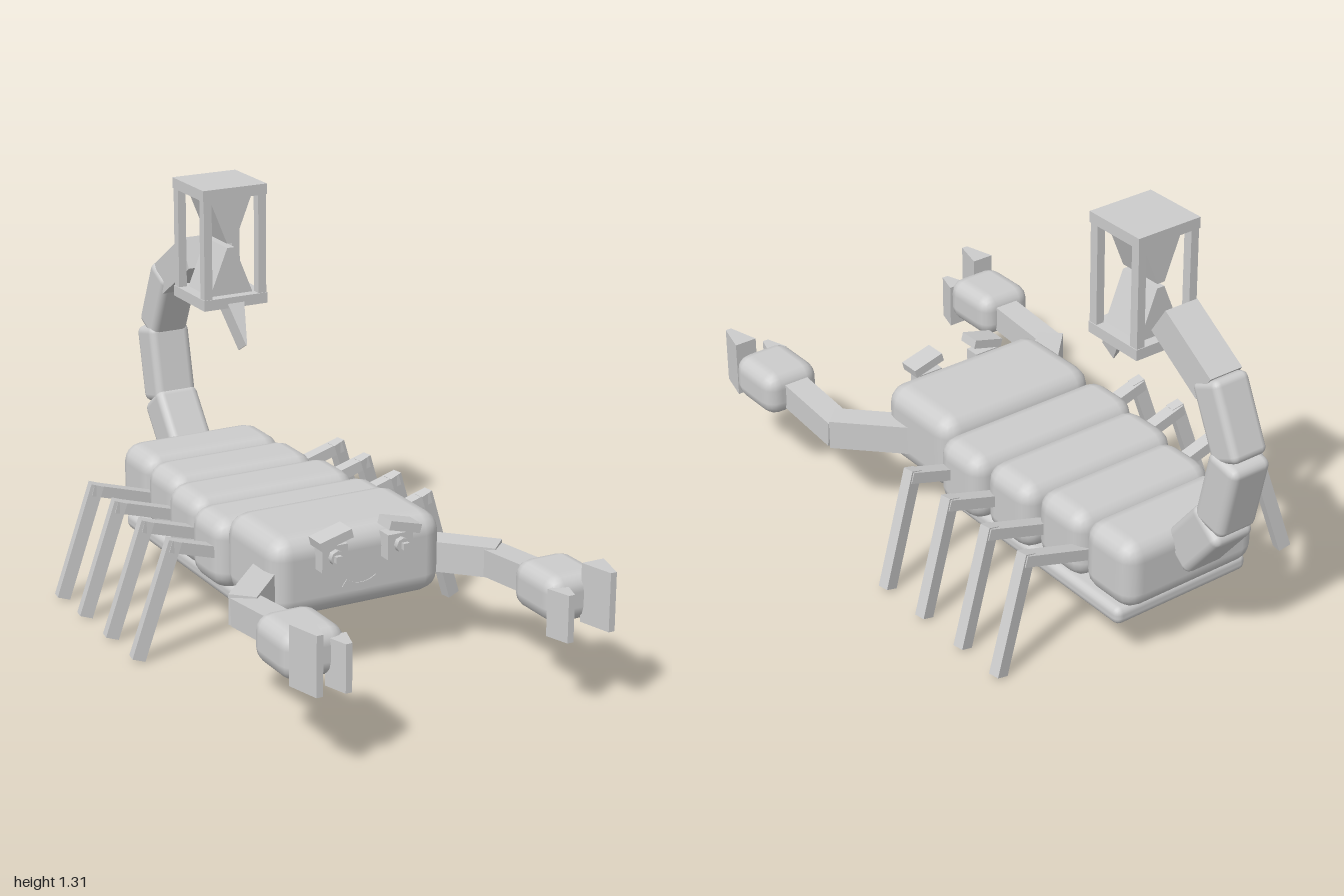
import * as THREE from 'three';
import { RoundedBoxGeometry } from 'three/addons/geometries/RoundedBoxGeometry.js';

const stone = new THREE.MeshStandardMaterial({ color: 0xcccccc });
stone.name = 'light grey';

function add(parent, name, geometry, x = 0, y = 0, z = 0) {
  const mesh = new THREE.Mesh(geometry, stone);
  mesh.name = name;
  mesh.position.set(x, y, z);
  parent.add(mesh);
  return mesh;
}

const box = (w, h, d) => new THREE.BoxGeometry(w, h, d);

// Box with softened edges, slightly enlarged to keep its full outer size
function softBox(w, h, d, r) {
  const e = 0.075 * r;
  return new RoundedBoxGeometry(w + e, h + e, d + e, 2, r);
}

// Straight bar from a to b, w wide and h high
function bar(parent, name, a, b, w, h, r = 0) {
  const from = new THREE.Vector3(...a), to = new THREE.Vector3(...b);
  const len = from.distanceTo(to);
  const mesh = add(parent, name, r ? softBox(w, h, len, r) : box(w, h, len));
  mesh.position.copy(from).add(to).multiplyScalar(0.5);
  mesh.lookAt(to);
  return mesh;
}

// Prism tapering from width w0 at y = 0 to w1 at y = len, centred in z
function taper(w0, w1, len, depth) {
  const shape = new THREE.Shape([
    new THREE.Vector2(-w0 / 2, 0), new THREE.Vector2(w0 / 2, 0),
    new THREE.Vector2(w1 / 2, len), new THREE.Vector2(-w1 / 2, len),
  ]);
  return new THREE.ExtrudeGeometry(shape, { depth, bevelEnabled: false }).translate(0, 0, -depth / 2);
}

function addBody(root) {
  add(root, 'head', softBox(0.572, 0.25, 0.33, 0.065), 0, 0.327, 0.228);
  // Four back plates, narrowing toward the tail: [width, centre z, depth]
  const plates = [[0.62, -0.02, 0.205], [0.57, -0.23, 0.215], [0.51, -0.44, 0.215], [0.49, -0.65, 0.215]];
  for (const [w, z, d] of plates) add(root, 'bodySegment', softBox(w, 0.222, d, 0.06), 0, 0.306, z);
  add(root, 'bellyPlate', softBox(0.495, 0.057, 0.815, 0.024), 0, 0.164, -0.308);
}

function addFace(root) {
  for (const s of [-1, 1]) {
    add(root, 'eye', box(0.085, 0.078, 0.05), s * 0.11, 0.394, 0.41);
    const iris = add(root, 'iris', new THREE.CylinderGeometry(0.023, 0.023, 0.02, 8), s * 0.11, 0.4, 0.443);
    iris.rotation.x = Math.PI / 2;
    add(root, 'pupil', box(0.02, 0.02, 0.02), s * 0.113, 0.4, 0.456);
    const brow = add(root, 'brow', box(0.108, 0.028, 0.07), s * 0.115, 0.457, 0.42);
    brow.rotation.z = -s * 0.26;
  }
  // Curved smile strip
  const smile = new THREE.Shape();
  smile.absarc(0, 0.37, 0.108, -Math.PI / 2 - 0.64, -Math.PI / 2 + 0.64, false);
  smile.absarc(0, 0.37, 0.083, -Math.PI / 2 + 0.64, -Math.PI / 2 - 0.64, true);
  add(root, 'smile', new THREE.ExtrudeGeometry(smile, { depth: 0.012, bevelEnabled: false, curveSegments: 6 }), 0, 0, 0.386);
}

function addLegs(root) {
  for (const s of [-1, 1]) {
    for (const z of [0.026, -0.164, -0.358, -0.532]) {
      bar(root, 'upperLeg', [s * 0.2, 0.285, z], [s * 0.45, 0.36, z], 0.042, 0.036);
      bar(root, 'lowerLeg', [s * 0.432, 0.375, z + 0.004], [s * 0.55, 0.008, z - 0.016], 0.036, 0.042);
    }
  }
}

function addClaws(root) {
  for (const s of [-1, 1]) {
    bar(root, 'upperArm', [s * 0.255, 0.305, 0.29], [s * 0.43, 0.305, 0.47], 0.085, 0.095);
    bar(root, 'forearm', [s * 0.417, 0.3, 0.45], [s * 0.417, 0.325, 0.7], 0.083, 0.085);
    add(root, 'hand', softBox(0.19, 0.143, 0.215, 0.05), s * 0.424, 0.33, 0.797);
    const outer = add(root, 'outerPincer', taper(0.074, 0.02, 0.105, 0.18), s * 0.472, 0.347, 0.895);
    outer.rotation.x = Math.PI / 2;
    const inner = add(root, 'innerPincer', taper(0.066, 0.02, 0.075, 0.145), s * 0.36, 0.303, 0.885);
    inner.rotation.x = Math.PI / 2;
  }
}

function addTail(root) {
  bar(root, 'tailSegment', [0, 0.33, -0.745], [0, 0.505, -0.885], 0.145, 0.135, 0.025);
  bar(root, 'tailSegment', [0, 0.49, -0.88], [0, 0.735, -0.935], 0.14, 0.12, 0.025);
  bar(root, 'tailSegment', [0, 0.725, -0.935], [0, 0.945, -0.835], 0.125, 0.112, 0.022);
  bar(root, 'tailTip', [0, 0.92, -0.835], [0, 1.05, -0.64], 0.115, 0.105);
}

function addHourglass(root) {
  const glass = new THREE.Group();
  glass.name = 'hourglass';
  glass.position.set(0, 0, -0.505);
  root.add(glass);
  add(glass, 'topPlate', box(0.22, 0.034, 0.215), 0, 1.291, 0);
  add(glass, 'bottomPlate', box(0.22, 0.034, 0.215), 0, 0.943, 0);
  for (const x of [-0.094, 0.094]) {
    for (const z of [-0.09, 0.09]) add(glass, 'post', box(0.027, 0.32, 0.03), x, 1.117, z);
  }
  add(glass, 'lowerBulb', taper(0.15, 0.026, 0.152, 0.15), 0, 0.958, 0);
  const upper = add(glass, 'upperBulb', taper(0.15, 0.026, 0.152, 0.15), 0, 1.276, 0);
  upper.rotation.z = Math.PI;
  // Stinger pointing forward and down below the frame
  const sting = add(glass, 'stinger', taper(0.066, 0.004, 0.16, 0.06), 0, 0.945, 0.07);
  sting.rotation.x = Math.PI - 0.53;
}

export function createModel() {
  const root = new THREE.Group();
  root.name = 'scorpion';
  addBody(root);
  addFace(root);
  addLegs(root);
  addClaws(root);
  addTail(root);
  addHourglass(root);
  return root;
}
